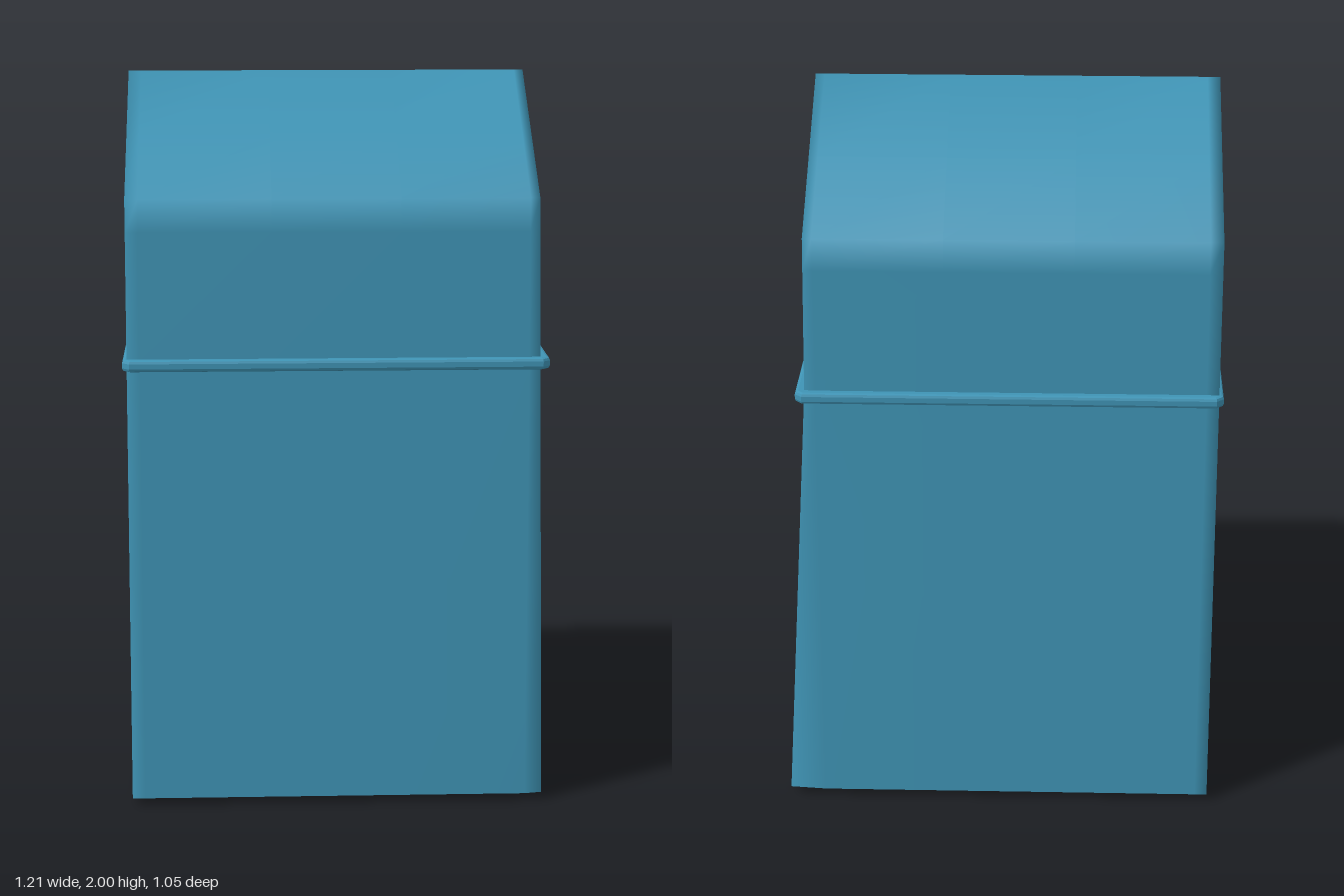
import * as THREE from 'three';
import { mergeVertices } from 'three/addons/utils/BufferGeometryUtils.js';

const END = 0.525, SIDE = 0.485, EAVE = 1.69;
const XS = [-0.595, -0.56, -0.2, 0.15, 0.5, END];
const ZS = [SIDE, 0.25, 0, -0.25, -SIDE];
const YS = [0.02, 0.64, 1.25, 1.6, EAVE];

const roofY = (z) => 2 - (2 - EAVE) * Math.abs(z) / SIDE;

// Taper the walls, chamfer the +x corners and flare the back +x corner outward
function deform(x, y, z) {
  const k = Math.max(0, 1 - y / EAVE);
  const onEnd = x === END;
  const corner = onEnd && Math.abs(z) === SIDE;
  const p = new THREE.Vector3(x, y, z * (1 + k * (corner ? 0.065 : 0.085)));
  if (onEnd) {
    const flare = Math.max(0, (-z - 0.25) / (SIDE - 0.25)) * Math.max(0, 1 - y / 1.25);
    p.x += 0.023 * k + 0.055 * flare;
    if (y === YS[0]) p.y -= 0.02 * (1 - Math.abs(z) / SIDE);
  }
  return p;
}

// Quad patch; us runs right and vs runs up as seen from outside
function addPatch(out, us, vs, at) {
  for (let i = 0; i < us.length - 1; i++) {
    for (let j = 0; j < vs.length - 1; j++) {
      const a = at(us[i], vs[j]), b = at(us[i + 1], vs[j]);
      const c = at(us[i + 1], vs[j + 1]), d = at(us[i], vs[j + 1]);
      for (const p of [a, b, c, a, c, d]) out.push(p.x, p.y, p.z);
    }
  }
}

// Softly shaded gabled shell, open underneath
function shellGeometry() {
  const out = [];
  const xBack = [...XS].reverse(), zBack = [...ZS].reverse();
  const gableY = (y, z) => (y === EAVE ? roofY(z) : y);
  addPatch(out, XS, YS, (x, y) => deform(x, y, SIDE));
  addPatch(out, xBack, YS, (x, y) => deform(x, y, -SIDE));
  addPatch(out, ZS, YS, (z, y) => deform(END, gableY(y, z), z));
  addPatch(out, zBack, YS, (z, y) => deform(XS[0], gableY(y, z), z));
  addPatch(out, XS, ZS, (x, z) => deform(x, roofY(z), z));
  const raw = new THREE.BufferGeometry();
  raw.setAttribute('position', new THREE.Float32BufferAttribute(out, 3));
  const geo = mergeVertices(raw, 1e-4);
  geo.computeVertexNormals();
  return geo;
}

// Rectangle with small clipped corners
function loop(Type, x0, x1, z, c) {
  return new Type([
    [x0 + c, -z], [x1 - c, -z], [x1, -z + c], [x1, z - c],
    [x1 - c, z], [x0 + c, z], [x0, z - c], [x0, -z + c],
  ].map(([x, y]) => new THREE.Vector2(x, y)));
}

function bandGeometry() {
  const shape = loop(THREE.Shape, -0.598, 0.547, 0.511, 0.014);
  shape.holes.push(loop(THREE.Path, -0.58, 0.515, 0.48, 0.01));
  const geo = new THREE.ExtrudeGeometry(shape, {
    depth: 0.014, bevelEnabled: true, bevelThickness: 0.009, bevelSize: 0.009, bevelSegments: 2,
  });
  geo.rotateX(-Math.PI / 2);
  geo.translate(0, 1.233, 0);
  return geo;
}

export function createModel() {
  const group = new THREE.Group();
  group.name = 'gabledCover';
  const material = new THREE.MeshStandardMaterial({ color: 0x3f94b5, side: THREE.DoubleSide });

  const shell = new THREE.Mesh(shellGeometry(), material);
  shell.name = 'coverShell';
  const band = new THREE.Mesh(bandGeometry(), material);
  band.name = 'trimBand';

  group.add(shell, band);
  return group;
}
